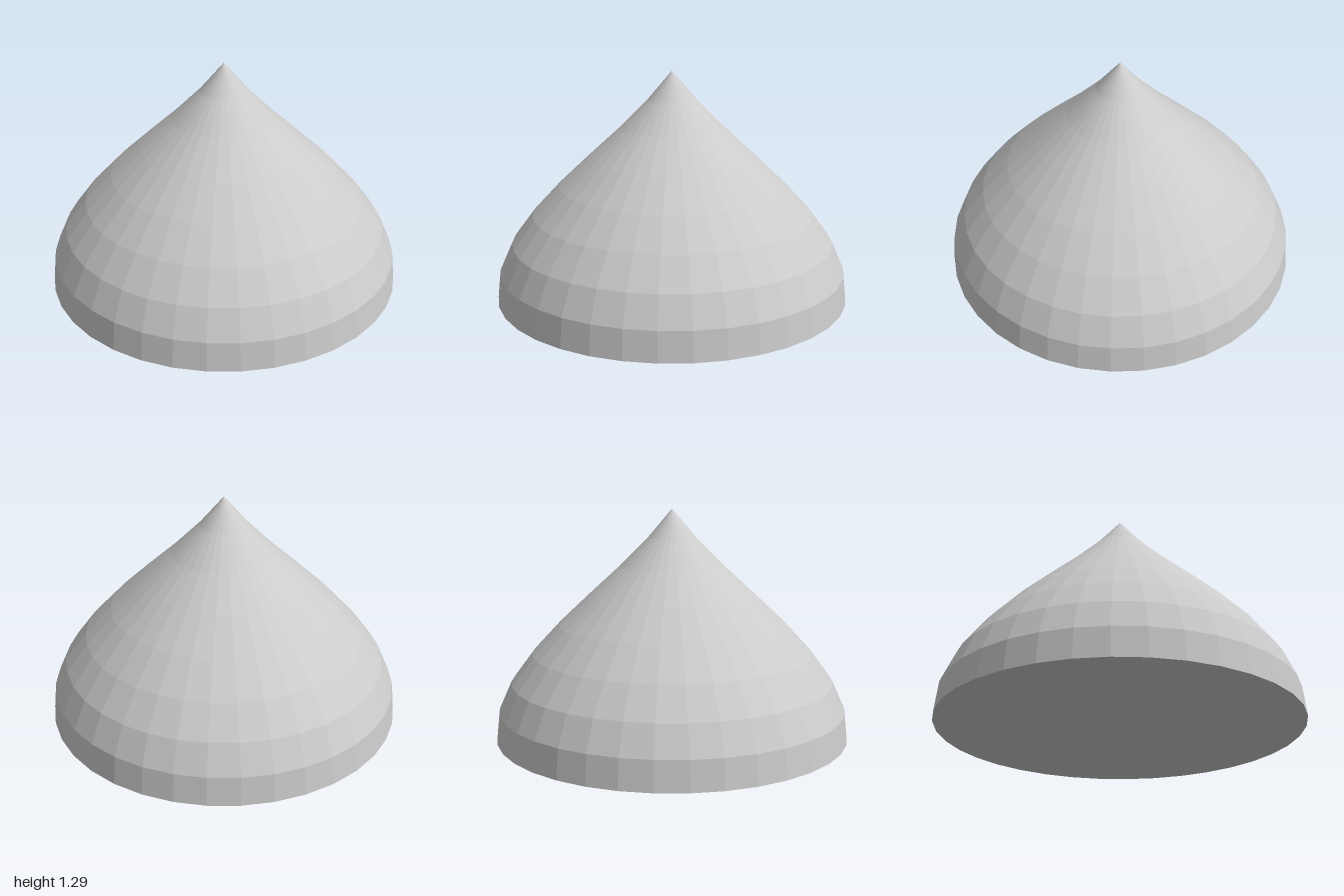
import * as THREE from 'three';

export function createModel() {
  const group = new THREE.Group();
  group.name = 'pointedDome';

  // Ring radii at equal height steps, from the base up to the tip
  const height = 1.286;
  const radii = [1, 0.982, 0.91, 0.79, 0.64, 0.47, 0.295, 0.135, 0];
  const profile = radii.map((r, i) => new THREE.Vector2(r, (height * i) / (radii.length - 1)));

  const segments = 36;
  const material = new THREE.MeshStandardMaterial({ color: 0xcccccc, flatShading: true });

  // Faceted onion-shaped shell
  const dome = new THREE.Mesh(new THREE.LatheGeometry(profile, segments), material);
  dome.name = 'dome';

  // Flat underside
  const base = new THREE.Mesh(new THREE.CircleGeometry(1, segments), material);
  base.name = 'base';
  base.rotation.x = Math.PI / 2;

  group.add(dome, base);
  return group;
}
